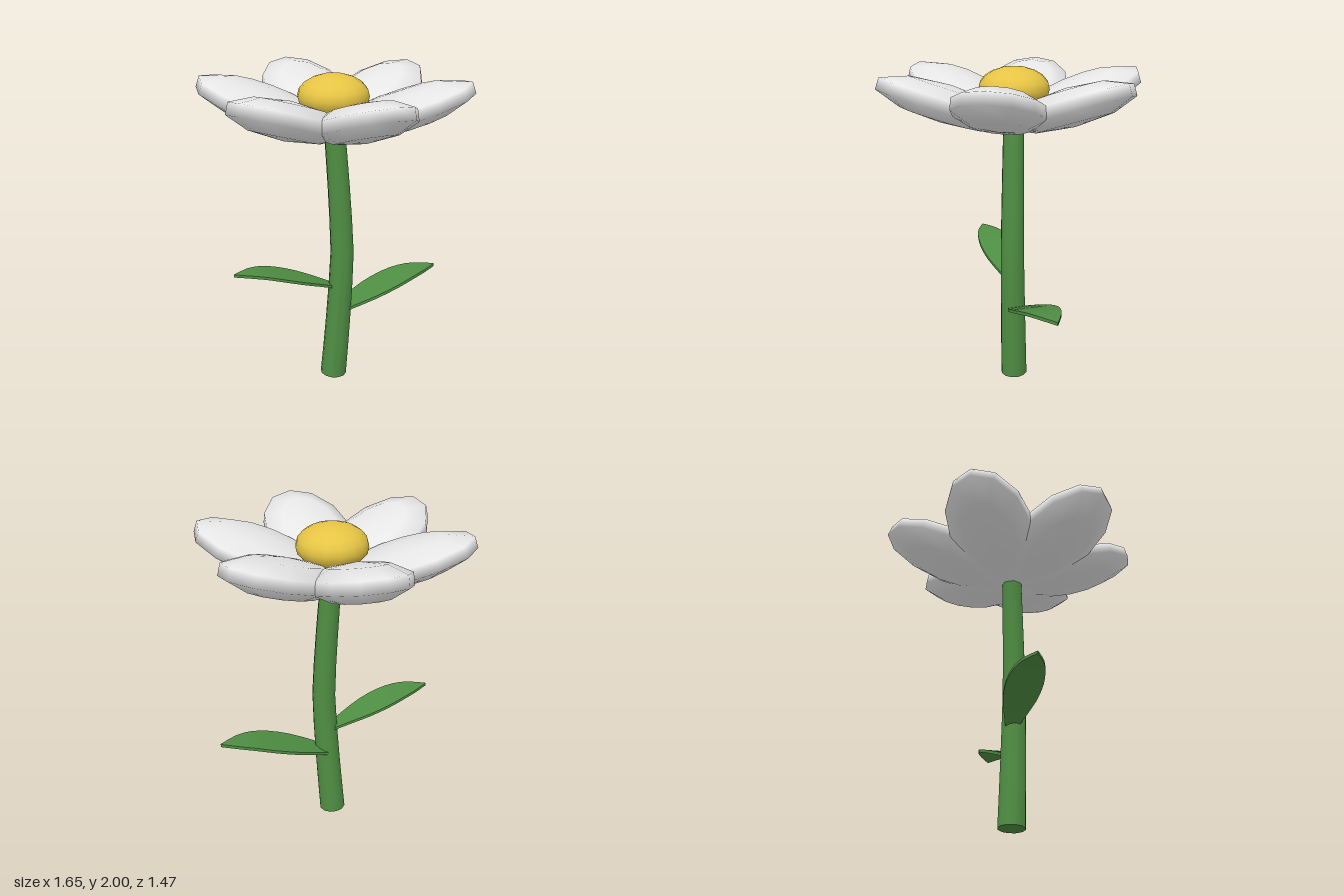
import * as THREE from 'three';

const material = (name, color) => {
  const m = new THREE.MeshStandardMaterial({ color });
  m.name = name;
  return m;
};

// Move every vertex of a geometry by a rule, then rebuild its normals
function reshape(geometry, rule) {
  const pos = geometry.attributes.position;
  const v = new THREE.Vector3();
  for (let i = 0; i < pos.count; i++) {
    rule(v.fromBufferAttribute(pos, i));
    pos.setXYZ(i, v.x, v.y, v.z);
  }
  geometry.computeVertexNormals();
  return geometry;
}

// Tapered stem that bows towards +x at half height
function stemGeometry() {
  const height = 1.74;
  return reshape(new THREE.CylinderGeometry(1, 1, 1, 12, 8), (v) => {
    const t = v.y + 0.5;
    const radius = 0.084 - 0.021 * t;
    const bow = 0.055 * (1 - Math.abs(2 * t - 1) ** 1.3);
    const tilt = 0.07 * (1 - 2 * t) * v.x * radius;
    v.set(v.x * radius + bow, 0.006 + height * t - tilt, v.z * radius);
  });
}

// Pointed, arched blade: x = distance out, y = rise, z = half width
function leafGeometry() {
  const outline = new THREE.CatmullRomCurve3([
    [0.0, 0.0, 0.045], [0.1, 0.045, 0.075], [0.25, 0.105, 0.115], [0.4, 0.157, 0.124],
    [0.52, 0.19, 0.105], [0.62, 0.204, 0.07], [0.735, 0.206, 0.002],
  ].map((p) => new THREE.Vector3(...p)));
  return reshape(new THREE.BoxGeometry(1, 0.02, 1, 12, 1, 2), (v) => {
    const p = outline.getPoint(v.x + 0.5);
    v.set(p.x, p.y + v.y, v.z * 2 * p.z);
  });
}

export function createModel() {
  const white = material('petal white', 0xe6e6e6);
  const yellow = material('centre yellow', 0xe6c444);
  const green = material('stem green', 0x4f8e43);

  const flower = new THREE.Group();
  flower.name = 'flower';
  const add = (name, geometry, mat) => {
    const mesh = new THREE.Mesh(geometry, mat);
    mesh.name = name;
    flower.add(mesh);
    return mesh;
  };

  add('stem', stemGeometry(), green);

  // Two leaves on opposite sides of the stem
  const leaf = leafGeometry();
  const lower = add('lowerLeaf', leaf, green);
  lower.position.y = 0.45;
  lower.rotation.y = Math.PI / 6;
  const upper = add('upperLeaf', leaf, green);
  upper.position.y = 0.64;
  upper.rotation.y = Math.PI * 7 / 6;
  upper.scale.setScalar(0.89);

  // Six flattened petals, tilted upwards around the centre
  const petal = new THREE.SphereGeometry(1, 12, 5);
  for (let i = 0; i < 6; i++) {
    const angle = i * Math.PI / 3;
    const mesh = add(`petal${i + 1}`, petal, white);
    mesh.position.set(0.42 * Math.cos(angle), 1.8, -0.42 * Math.sin(angle));
    mesh.rotation.set(0, angle, THREE.MathUtils.degToRad(19));
    mesh.scale.set(0.44, 0.113, 0.28);
  }

  // Domed flower centre
  const centre = add('flowerCentre', new THREE.SphereGeometry(1, 16, 10), yellow);
  centre.position.y = 1.87;
  centre.scale.set(0.215, 0.13, 0.215);

  return flower;
}
